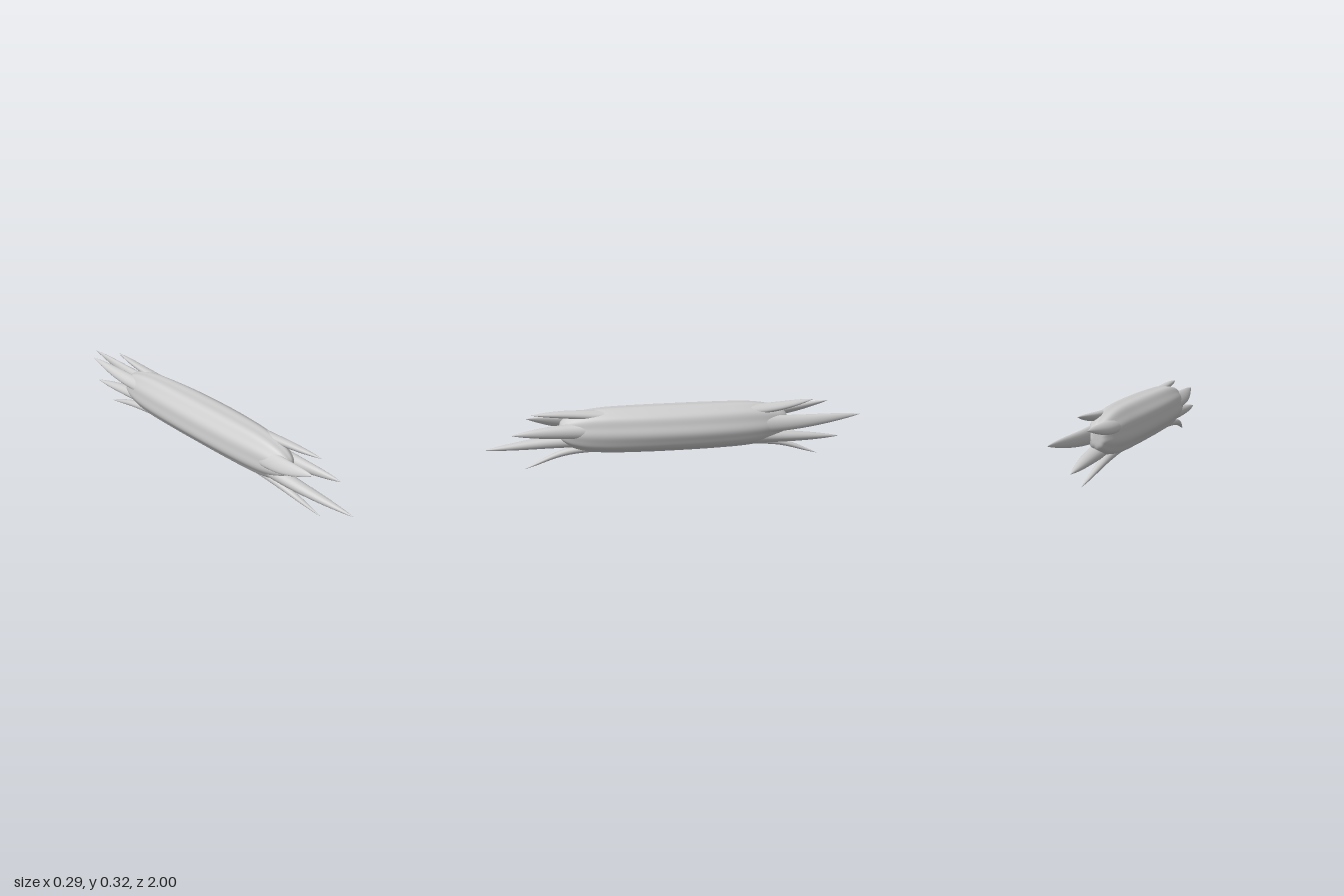
import * as THREE from 'three';

const material = new THREE.MeshStandardMaterial({ color: 0xcccccc, side: THREE.DoubleSide });
const MID_Y = 0.195;
const axisX = (z) => -0.09 * z - 0.05 * z * z; // the trunk lies askew and bows slightly

// Skin of closed rings; point(t, angle) returns a Vector3, t running towards +z
function loft(name, steps, sides, point) {
  const pos = [], index = [];
  for (let i = 0; i <= steps; i++) {
    for (let j = 0; j < sides; j++) {
      pos.push(...point(i / steps, (j / sides) * Math.PI * 2).toArray());
      if (i === steps) continue;
      const a = i * sides + j, b = i * sides + ((j + 1) % sides);
      index.push(a, b, a + sides, b, b + sides, a + sides);
    }
  }
  const geo = new THREE.BufferGeometry();
  geo.setAttribute('position', new THREE.Float32BufferAttribute(pos, 3));
  geo.setIndex(index);
  geo.computeVertexNormals();
  const mesh = new THREE.Mesh(geo, material);
  mesh.name = name;
  return mesh;
}

// Ribbed trunk with tapering ends; each profile entry is [z, half width, half height]
function trunk() {
  const half = [
    [0.2, 0.111, 0.124], [0.4, 0.096, 0.118], [0.5, 0.08, 0.103],
    [0.57, 0.058, 0.077], [0.605, 0.034, 0.046], [0.61, 0, 0],
  ];
  const profile = [...half.map(([z, w, h]) => [-z, w, h]).reverse(), [0, 0.115, 0.125], ...half];
  const curve = new THREE.CatmullRomCurve3(profile.map((p) => new THREE.Vector3(...p)));
  return loft('trunk', 84, 90, (t, a) => {
    const p = curve.getPoint(t), z = p.x;
    const ribs = 1 + 0.02 * Math.cos(9 * a + 0.6) + 0.012 * Math.cos(5 * a + 2);
    return new THREE.Vector3(
      axisX(z) + Math.cos(a) * ribs * p.y, MID_Y + Math.sin(a) * ribs * p.z, z);
  });
}

// Splinter: flares out of the trunk wall, passes through mid and ends in a blunt point
function splinter(name, mid, tip, radius, flat) {
  const m = new THREE.Vector3(...mid), end = new THREE.Vector3(...tip);
  const back = end.z < 0;
  const rootZ = back ? -0.25 : 0.25;
  const dx = m.x - axisX(m.z), dy = m.y - MID_Y;
  const root = new THREE.Vector3(axisX(rootZ) + dx * 0.75, MID_Y + dy * 0.75, rootZ);
  const path = new THREE.CatmullRomCurve3([root, m, end]);
  const turn = Math.atan2(dy, dx);
  return loft(name, 32, 20, (t, a) => {
    const s = back ? 1 - t : t;
    const r = radius * (1.15 * Math.pow(1 - s ** 3, 0.9) + 0.5 * (1 - s) ** 3);
    const u = Math.cos(a) * r * flat, v = Math.sin(a) * r;
    const p = path.getPoint(s);
    p.x += u * Math.cos(turn) - v * Math.sin(turn);
    p.y += u * Math.sin(turn) + v * Math.cos(turn);
    return p;
  });
}

export function createModel() {
  const group = new THREE.Group();
  group.name = 'splinteredLog';
  group.add(trunk());

  // name, mid point, tip, radius, flatness
  const splinters = [
    ['frontLongSplinter', [-0.092, 0.135, 0.62], [-0.105, 0.112, 1], 0.036, 0.85],
    ['frontCentreSplinter', [-0.02, 0.205, 0.6], [-0.02, 0.205, 0.865], 0.034, 0.85],
    ['frontLowSplinter', [-0.083, 0.076, 0.58], [-0.077, 0.002, 0.8], 0.019, 0.9],
    ['frontSideSplinter', [-0.125, 0.23, 0.58], [-0.133, 0.257, 0.775], 0.038, 0.45],
    ['frontTopSplinter', [-0.03, 0.293, 0.56], [-0.038, 0.3, 0.76], 0.024, 0.75],
    ['backLongSplinter', [0.1, 0.2, -0.63], [0.14, 0.23, -1], 0.037, 0.65],
    ['backLowerSplinter', [0.062, 0.112, -0.62], [0.066, 0.092, -0.915], 0.034, 0.8],
    ['backSideSplinter', [-0.008, 0.245, -0.61], [0.001, 0.28, -0.87], 0.032, 0.7],
    ['backLowSplinter', [0.022, 0.074, -0.57], [0.06, 0.002, -0.79], 0.019, 0.9],
    ['backTopSplinter', [0.075, 0.288, -0.55], [0.086, 0.317, -0.745], 0.028, 0.65],
  ];
  splinters.forEach((s) => group.add(splinter(...s)));
  return group;
}
